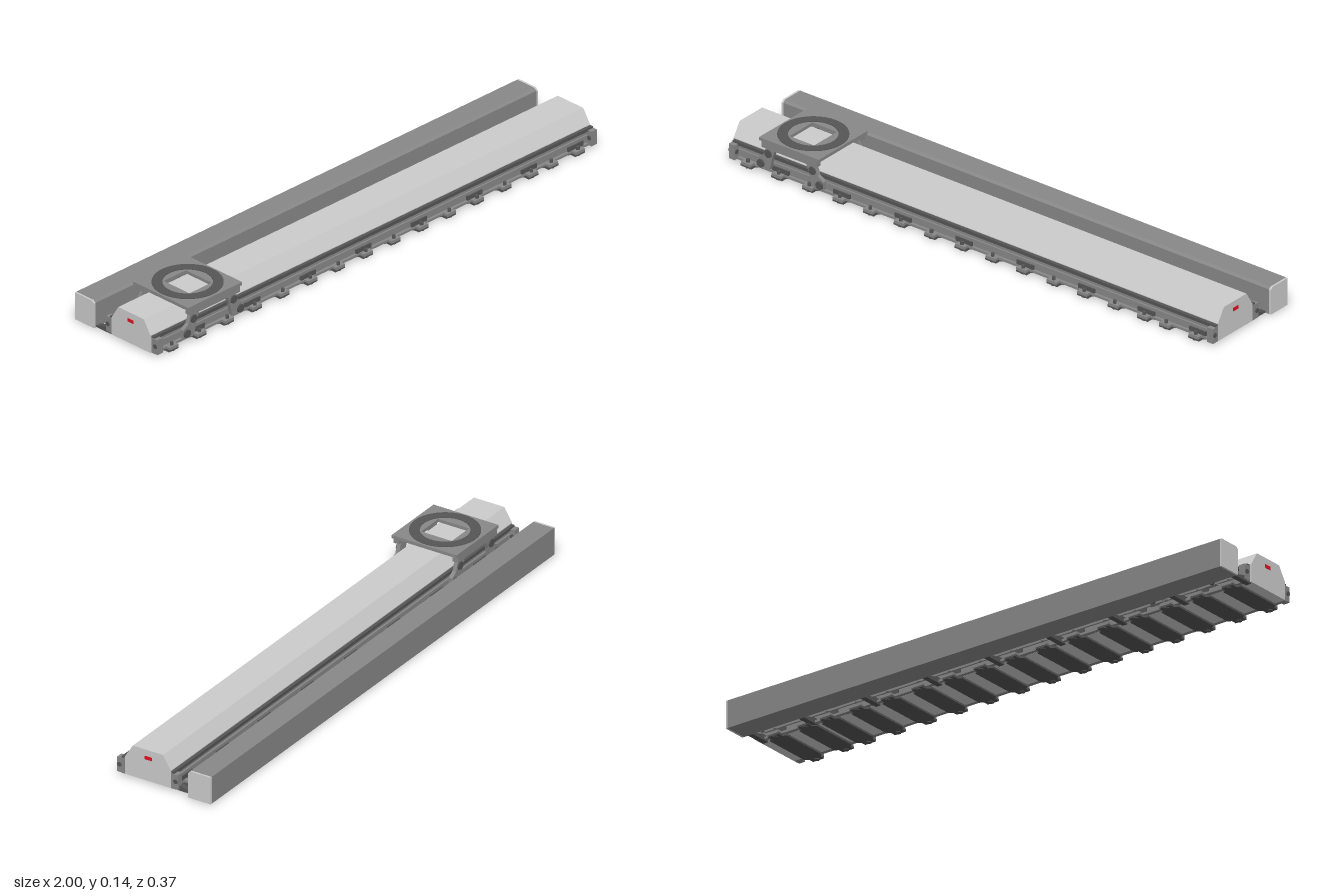
import * as THREE from 'three';

const mat = (color) => new THREE.MeshStandardMaterial({ color, flatShading: true });

export function createModel() {
  const root = new THREE.Group();
  const light = mat(0xcccccc), grey = mat(0x888888), dark = mat(0x555555), red = mat(0xe01020);

  const add = (name, geometry, material, x = 0, y = 0, z = 0, parent = root) => {
    const m = new THREE.Mesh(geometry, material);
    m.name = name;
    m.position.set(x, y, z);
    parent.add(m);
    return m;
  };
  // box given by its lower and upper corners
  const box = (name, x0, x1, y0, y1, z0, z1, material, parent) =>
    add(name, new THREE.BoxGeometry(x1 - x0, y1 - y0, z1 - z0), material,
      (x0 + x1) / 2, (y0 + y1) / 2, (z0 + z1) / 2, parent);
  // [z, y] section swept along x from x0 to x1
  const sweep = (name, section, x0, x1, material, parent) => {
    const shape = new THREE.Shape(section.map(([z, y]) => new THREE.Vector2(-z, y)));
    const g = new THREE.ExtrudeGeometry(shape, { depth: x1 - x0, bevelEnabled: false });
    g.rotateY(Math.PI / 2);
    return add(name, g, material, x0, 0, 0, parent);
  };

  const MID = 0.0625; // centre line of the track in z
  const sides = [1, -1];

  // long cover with sloping shoulders, and red end plates
  sweep('trackCover', [[0.15, 0.01], [0.15, 0.073], [0.12, 0.121], [0.005, 0.121],
    [-0.025, 0.073], [-0.025, 0.01]], -0.995, 0.985, light);
  for (const x of [-0.995, 0.985]) box('endPlate', x - 0.0015, x + 0.0015, 0.086, 0.098, 0.047, 0.074, red);

  // side rails: web, upper and lower flange, guide bar
  for (const s of sides) {
    const rail = new THREE.Group();
    rail.name = 'sideRail';
    root.add(rail);
    const strip = (name, d0, d1, y0, y1, m) => {
      const a = MID + s * d0, b = MID + s * d1;
      box(name, -0.99, 0.985, y0, y1, Math.min(a, b), Math.max(a, b), m, rail);
    };
    strip('railWeb', 0.086, 0.092, 0.012, 0.07, grey);
    strip('railTop', 0.088, 0.1, 0.06, 0.071, dark);
    strip('guideBar', 0.09, 0.098, 0.036, 0.046, grey);
    strip('railFoot', 0.088, 0.102, 0.01, 0.018, grey);
  }

  // cross plates with narrow feet, clamps and levelling bolts
  const feet = [-0.92, -0.795];
  for (let i = 0; i < 11; i++) feet.push(-0.67 + i * 0.125);
  feet.push(0.7, 0.79, 0.91);
  const plan = new THREE.Shape();
  [[-0.035, -0.09], [-0.022, -0.098], [-0.022, -0.118], [0.022, -0.118], [0.022, -0.098], [0.035, -0.09],
    [0.035, 0.09], [0.022, 0.098], [0.022, 0.118], [-0.022, 0.118], [-0.022, 0.098], [-0.035, 0.09]]
    .forEach(([x, y], i) => (i ? plan.lineTo(x, y) : plan.moveTo(x, y)));
  const plateGeo = new THREE.ExtrudeGeometry(plan, { depth: 0.008, bevelEnabled: false }).rotateX(-Math.PI / 2);
  const boltGeo = new THREE.CylinderGeometry(0.006, 0.006, 0.016, 10);
  feet.forEach((x, i) => {
    add('crossPlate', plateGeo, dark, x, 0.003, MID);
    for (const s of sides) {
      const z = MID + s * 0.108;
      box('footBlock', x - 0.02, x + 0.02, 0.009, 0.019, z - 0.011, z + 0.011, grey);
      add('levellingBolt', boltGeo, dark, x, 0.022, z);
      add('levellingPad', new THREE.CylinderGeometry(0.009, 0.009, 0.004, 10), dark, x, 0.002, z);
      if (i % 2) box('railClamp', x - 0.033, x + 0.033, 0.017, 0.034, MID + s * 0.094 - 0.006, MID + s * 0.094 + 0.006, dark);
    }
  });

  // end stops on both rails
  for (const x of [-0.98, 0.975]) for (const s of sides) {
    const z = MID + s * 0.103;
    box('endStop', x - 0.012, x + 0.012, 0.012, 0.065, z - 0.013, z + 0.013, grey);
    const b = add('buffer', new THREE.CylinderGeometry(0.008, 0.008, 0.03, 12), dark, x, 0.04, z + s * 0.004);
    b.rotation.z = Math.PI / 2;
  }

  // cable trough behind the track, with light end caps
  const trough = [[-0.186, 0.005], [-0.1, 0.005], [-0.1, 0.094], [-0.108, 0.102], [-0.186, 0.102]];
  sweep('cableTrough', trough, -0.993, 0.993, grey);
  sweep('troughCap', trough, -1, -0.993, light);
  sweep('troughCap', trough, 0.993, 1, light);

  // tapered brackets that carry the trough
  for (let i = 0; i < 9; i++) {
    const x = i < 8 ? -0.98 + i * 0.249 : 0.968;
    sweep('troughBracket', [[-0.02, 0.006], [-0.02, 0.026], [-0.045, 0.026], [-0.102, 0.011], [-0.102, 0.006]],
      x - 0.01, x + 0.01, dark);
  }

  // carriage: plate with a square opening, ring and side legs
  const carriage = new THREE.Group();
  carriage.name = 'carriage';
  carriage.position.set(-0.74, 0, MID);
  root.add(carriage);
  const rect = (P, w, h) => {
    const p = new P();
    p.moveTo(-w, -h).lineTo(w, -h).lineTo(w, h).lineTo(-w, h).closePath();
    return p;
  };
  const top = rect(THREE.Shape, 0.122, 0.124);
  top.holes.push(rect(THREE.Path, 0.05, 0.058));
  add('carriagePlate', new THREE.ExtrudeGeometry(top, { depth: 0.011, bevelEnabled: false }).rotateX(-Math.PI / 2),
    grey, 0, 0.125, 0, carriage);
  const ring = new THREE.Shape().absarc(0, 0, 0.115, 0, Math.PI * 2);
  ring.holes.push(new THREE.Path().absarc(0, 0, 0.081, 0, Math.PI * 2, true));
  add('mountingRing', new THREE.ExtrudeGeometry(ring, { depth: 0.002, bevelEnabled: false, curveSegments: 32 })
    .rotateX(-Math.PI / 2), dark, 0, 0.136, 0, carriage);

  const wheelGeo = new THREE.CylinderGeometry(0.014, 0.014, 0.016, 16).rotateX(Math.PI / 2);
  for (const s of sides) {
    const edge = s * 0.113;
    box('sideBeam', -0.112, 0.112, 0.104, 0.126, edge - 0.011, edge + 0.011, grey, carriage);
    for (const e of sides) {
      // leg flares outward towards the rollers
      const leg = new THREE.Shape();
      [[0.062, 0.105], [0.1, 0.105], [0.112, 0.07], [0.135, 0.055], [0.135, 0.026], [0.085, 0.026], [0.075, 0.07]]
        .forEach(([x, y], i) => (i ? leg.lineTo(e * x, y) : leg.moveTo(e * x, y)));
      add('carriageLeg', new THREE.ExtrudeGeometry(leg, { depth: 0.014, bevelEnabled: false }),
        grey, 0, 0, s * 0.109 - 0.007, carriage);
      add('upperRoller', wheelGeo, dark, e * 0.09, 0.083, s * 0.112, carriage);
      add('lowerRoller', wheelGeo, dark, e * 0.12, 0.04, s * 0.114, carriage);
    }
  }
  return root;
}
